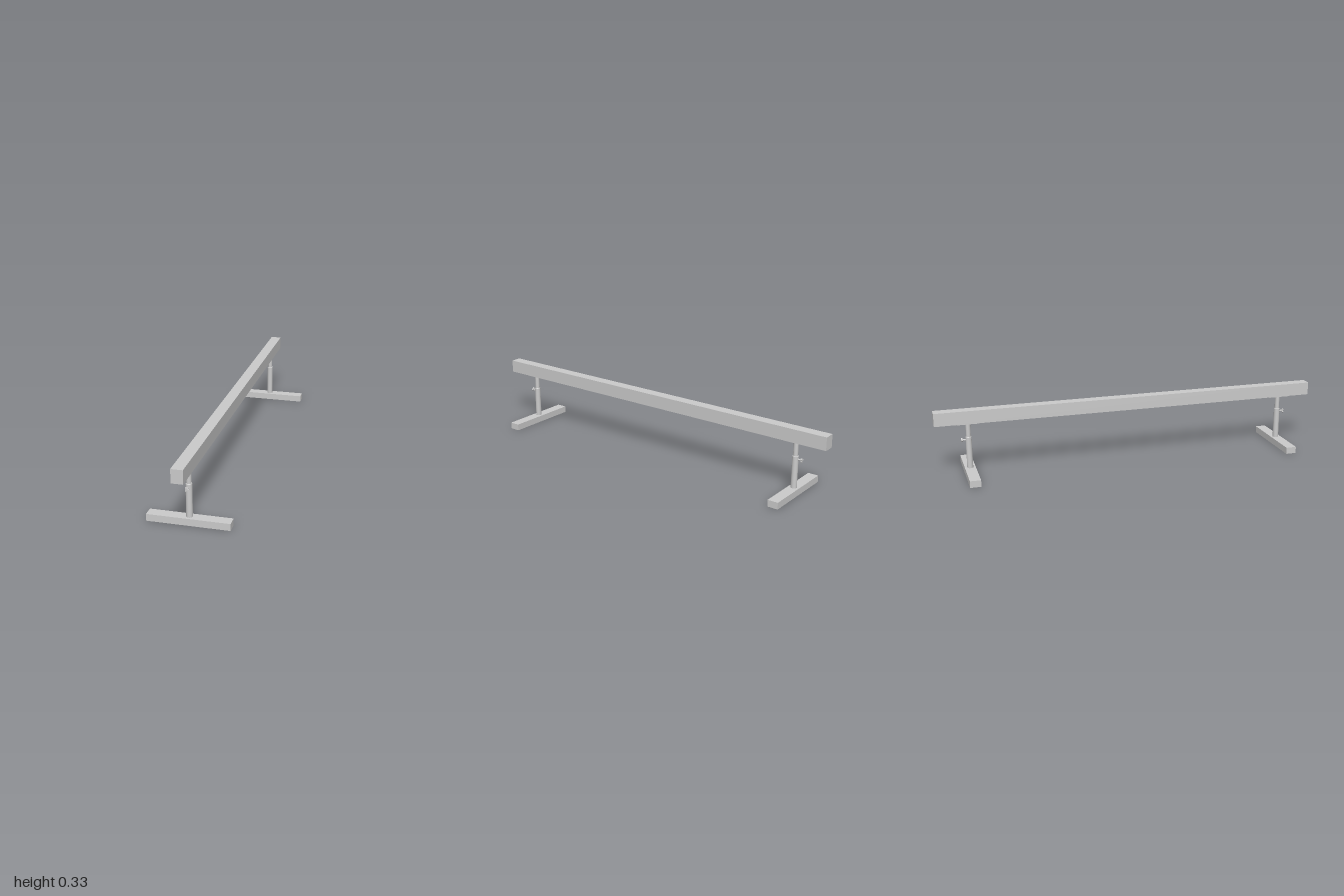
import * as THREE from 'three';

const grey = new THREE.MeshStandardMaterial({ color: 0xcccccc });

function add(parent, name, geometry, x = 0, y = 0, z = 0) {
  const mesh = new THREE.Mesh(geometry, grey);
  mesh.name = name;
  mesh.position.set(x, y, z);
  parent.add(mesh);
  return mesh;
}

// Three-lobed outline of the clamping knob
function knobGeometry() {
  const shape = new THREE.Shape();
  const steps = 36;
  for (let i = 0; i < steps; i++) {
    const a = (i / steps) * Math.PI * 2;
    const r = 0.0078 + 0.0028 * Math.cos(3 * a);
    const x = r * Math.cos(a), y = r * Math.sin(a);
    if (i === 0) shape.moveTo(x, y);
    else shape.lineTo(x, y);
  }
  shape.closePath();
  return new THREE.ExtrudeGeometry(shape, {
    depth: 0.005, bevelEnabled: true, bevelThickness: 0.001, bevelSize: 0.0008, bevelSegments: 2,
  });
}

// One support, with its knob facing +z
function createSupport() {
  const g = new THREE.Group();
  add(g, 'foot', new THREE.BoxGeometry(0.388, 0.034, 0.054), 0, 0.017);

  // Outer sleeve with a chamfered rim
  const profile = [[0, 0.034], [0.015, 0.034], [0.015, 0.034], [0.015, 0.194], [0.015, 0.194],
    [0.0135, 0.197], [0.0135, 0.197], [0.011, 0.197]].map(([r, y]) => new THREE.Vector2(r, y));
  add(g, 'outerPost', new THREE.LatheGeometry(profile, 32));
  add(g, 'innerPost', new THREE.CylinderGeometry(0.0118, 0.0118, 0.083, 32), 0, 0.2225);
  add(g, 'mountingPlate', new THREE.BoxGeometry(0.034, 0.005, 0.11), 0, 0.2655);

  // Height-locking screw and knob
  const screw = add(g, 'lockingScrew', new THREE.CylinderGeometry(0.004, 0.004, 0.022, 16), 0, 0.18, 0.022);
  screw.rotation.x = Math.PI / 2;
  add(g, 'lockingKnob', knobGeometry(), 0, 0.18, 0.031);
  return g;
}

export function createModel() {
  const model = new THREE.Group();
  model.name = 'balanceBeam';
  add(model, 'beam', new THREE.BoxGeometry(0.055, 0.066, 2), 0, 0.301);

  // Supports at both ends, knobs facing outwards
  for (const side of [1, -1]) {
    const support = createSupport();
    support.name = side > 0 ? 'frontSupport' : 'backSupport';
    support.position.z = side * 0.834;
    if (side < 0) support.rotation.y = Math.PI;
    model.add(support);
  }
  return model;
}
